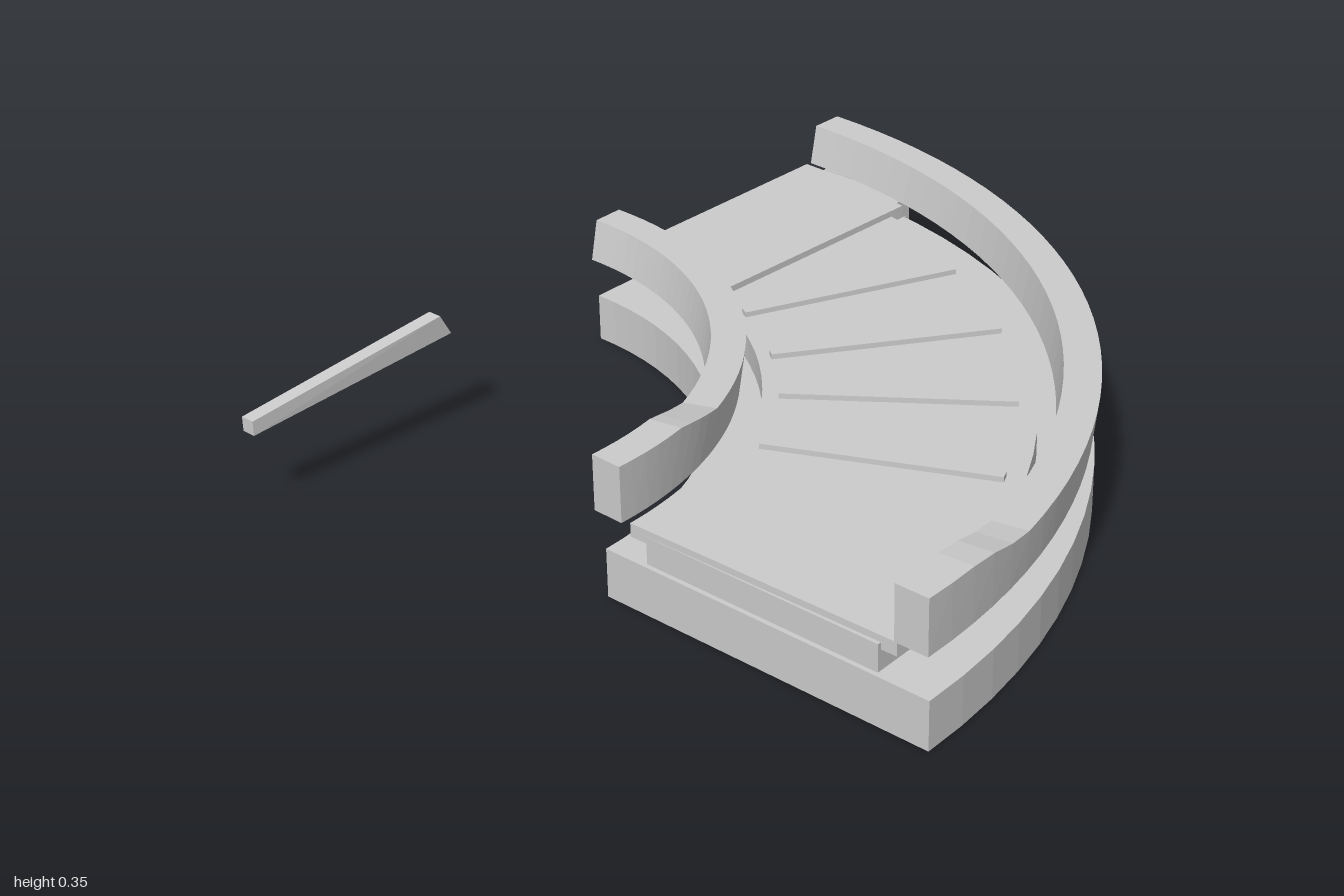
import * as THREE from 'three';

const CX = -0.74, CZ = -0.86; // centre of the bend
const material = new THREE.MeshStandardMaterial({ color: 0xcccccc, flatShading: true });

// Point on the bend: angle 0 is the left-hand end, PI / 2 the rear end
const polar = (r, a, y) => [CX + r * Math.sin(a), y, CZ + r * Math.cos(a)];

// Closed solid swept through n + 1 four-cornered sections
function sweep(name, n, section) {
  const rows = [];
  for (let i = 0; i <= n; i++) rows.push(section(i / n));
  const pos = [];
  const quad = (a, b, c, d) => pos.push(...a, ...b, ...c, ...a, ...c, ...d);
  for (let i = 0; i < n; i++) {
    for (let j = 0; j < 4; j++) {
      const k = (j + 1) % 4;
      quad(rows[i][j], rows[i + 1][j], rows[i + 1][k], rows[i][k]);
    }
  }
  quad(...rows[0]);
  quad(...rows[n].slice().reverse());
  const g = new THREE.BufferGeometry();
  g.setAttribute('position', new THREE.Float32BufferAttribute(pos, 3));
  g.computeVertexNormals();
  const mesh = new THREE.Mesh(g, material);
  mesh.name = name;
  return mesh;
}

// Rectangular section following the bend
function arcSolid(name, r0, r1, y0, y1, a0 = 0, a1 = Math.PI / 2) {
  return sweep(name, 24, t => {
    const a = a0 + (a1 - a0) * t;
    return [polar(r0, a, y0), polar(r1, a, y0), polar(r1, a, y1), polar(r0, a, y1)];
  });
}

// Guard rail: leans outward toward the rear end, raised lip at the left end
function rail(name, r0, r1, a0, a1) {
  return sweep(name, 36, t => {
    const a = a0 + (a1 - a0) * t;
    const x = CX + r1 * Math.sin(a);
    const top = 0.32 + 0.035 * THREE.MathUtils.clamp((-0.4 - x) / 0.15, 0, 1);
    const lean = 0.022 * Math.max(0, Math.sin(a));
    return [polar(r0, a, 0.22), polar(r1, a, 0.22), polar(r1 + lean, a, top), polar(r0 + lean, a, top)];
  });
}

// Flat panel over one end of the belt; the rear one is mirrored
function endPanel(name, mirrored) {
  const r0 = 0.925, r1 = 1.635;
  const point = (u, r, y) => {
    const v = Math.sqrt(r * r - u * u);
    return mirrored ? [CX + v, y, CZ + u] : [CX + u, y, CZ + v];
  };
  return sweep(name, 8, t => {
    const s = mirrored ? 1 - t : t;
    const u0 = 0.34 * s, u1 = 0.01 + 0.36 * s;
    return [point(u0, r0, 0.18), point(u1, r1, 0.18), point(u1, r1, 0.213), point(u0, r0, 0.213)];
  });
}

function box(name, w, h, d, x, y, z) {
  const mesh = new THREE.Mesh(new THREE.BoxGeometry(w, h, d), material);
  mesh.name = name;
  mesh.position.set(x, y, z);
  return mesh;
}

export function createModel() {
  const group = new THREE.Group();
  group.name = 'curvedConveyor';

  // Base, belt and rails
  group.add(arcSolid('base', 0.85, 1.725, 0, 0.12));
  group.add(arcSolid('belt', 0.97, 1.595, 0.13, 0.197));
  group.add(rail('innerRail', 0.84, 0.92, -0.022, Math.PI / 2 + 0.01));
  group.add(rail('outerRail', 1.635, 1.72, 0, Math.PI / 2 - 0.015));

  // End panels
  group.add(endPanel('leftEndPanel', false));
  group.add(endPanel('rearEndPanel', true));

  // Thin dividers crossing the belt: inner x, z and outer x, z
  const dividers = [
    [0.15, -0.41, 0.66, -0.17],
    [0.03, -0.22, 0.48, 0.11],
    [-0.10, -0.08, 0.22, 0.36],
    [-0.30, 0.04, -0.07, 0.54],
  ];
  for (const [x0, z0, x1, z1] of dividers) {
    const d = box('beltDivider', Math.hypot(x1 - x0, z1 - z0), 0.09, 0.024, (x0 + x1) / 2, 0.165, (z0 + z1) / 2);
    d.rotation.y = -Math.atan2(z1 - z0, x1 - x0);
    group.add(d);
  }

  // Bracket at the outer rear corner
  group.add(box('bracketShelf', 0.13, 0.05, 0.28, 0.9, 0.153, -0.7));
  group.add(box('bracketPlate', 0.014, 0.128, 0.28, 0.963, 0.116, -0.7));

  // Loose sloping bar beside the bend
  group.add(sweep('looseBar', 1, t => {
    const z = -0.87 + 0.062 * t, y = 0.207 + 0.063 * t;
    const low = -1 + 0.54 * t, high = -1 + 0.51 * t;
    const w = 0.036, h = 0.036 + 0.019 * t;
    return [[low, y, z], [low, y, z + w], [high, y + h, z + w], [high, y + h, z]];
  }));

  return group;
}
